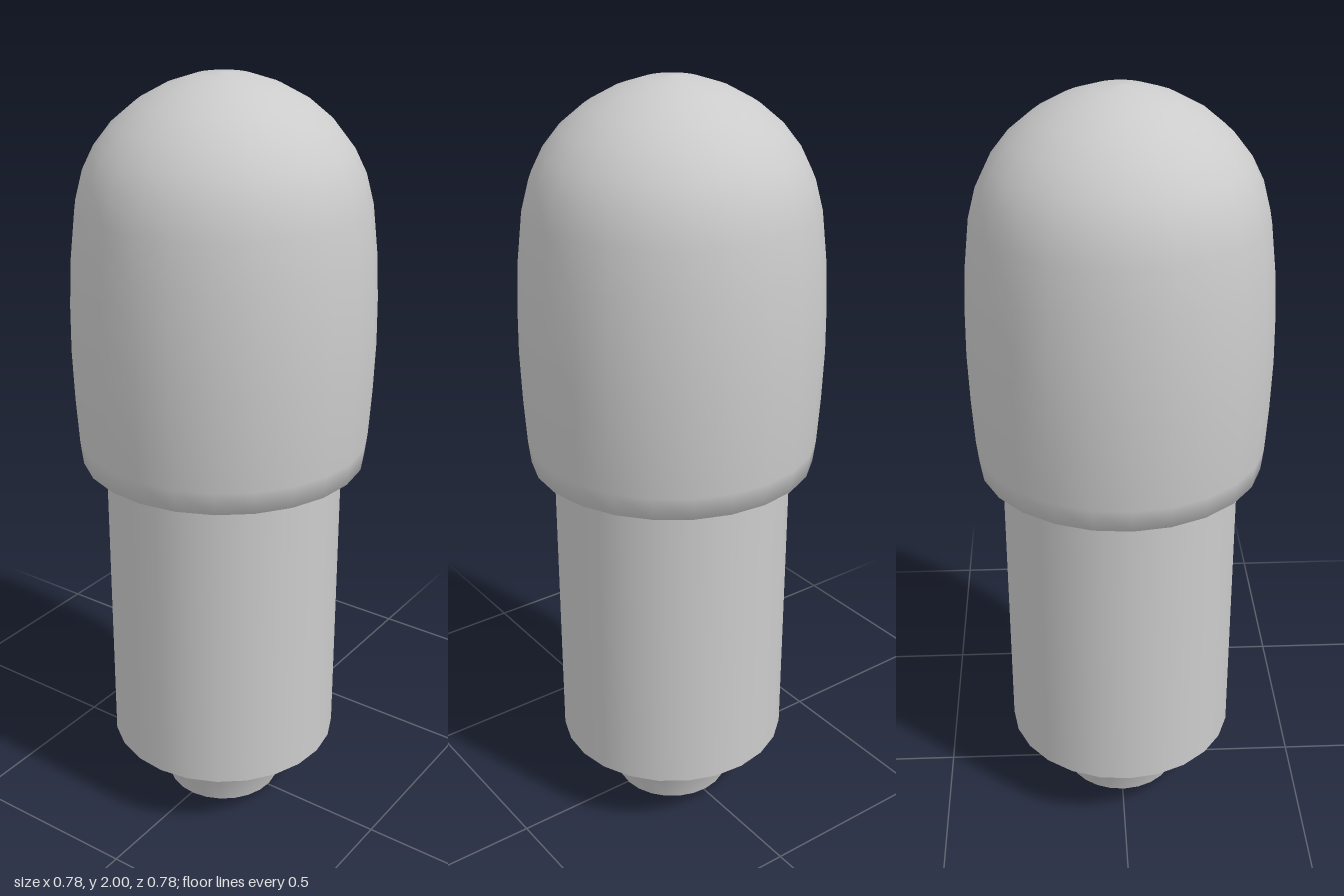
import * as THREE from 'three';

const SIDES = 24;
const TURN = 0.035; // slight rotation of the facets about the axis

const material = new THREE.MeshStandardMaterial({ color: 0xcccccc });

// Turns a bottom-to-top [radius, height] profile; smooth within one profile
function turned(name, profile) {
  const points = profile.map(([r, y]) => new THREE.Vector2(r, y));
  const mesh = new THREE.Mesh(new THREE.LatheGeometry(points, SIDES, TURN), material);
  mesh.name = name;
  return mesh;
}

export function createModel() {
  const group = new THREE.Group();
  group.name = 'roundHeadedPeg';

  // Separate profiles keep the edges between the parts crisp
  group.add(
    turned('footBase', [[0, 0], [0.157, 0]]),
    turned('foot', [[0.157, 0], [0.175, 0.06], [0.2, 0.11], [0.22, 0.15]]),
    turned('shaftUnderside', [[0.22, 0.15], [0.311, 0.18]]),
    turned('shaft', [[0.311, 0.18], [0.311, 1.0]]),
    turned('collar', [[0.311, 1.0], [0.335, 1.02]]),
  );

  // Rounded head with its narrow lower rim
  group.add(turned('head', [
    [0.335, 1.02], [0.37, 1.02], [0.377, 1.08], [0.384, 1.2], [0.388, 1.33],
    [0.386, 1.45], [0.379, 1.57], [0.365, 1.69], [0.345, 1.765], [0.315, 1.825],
    [0.27, 1.882], [0.21, 1.932], [0.14, 1.97], [0.07, 1.993], [0, 2.0],
  ]));

  return group;
}
